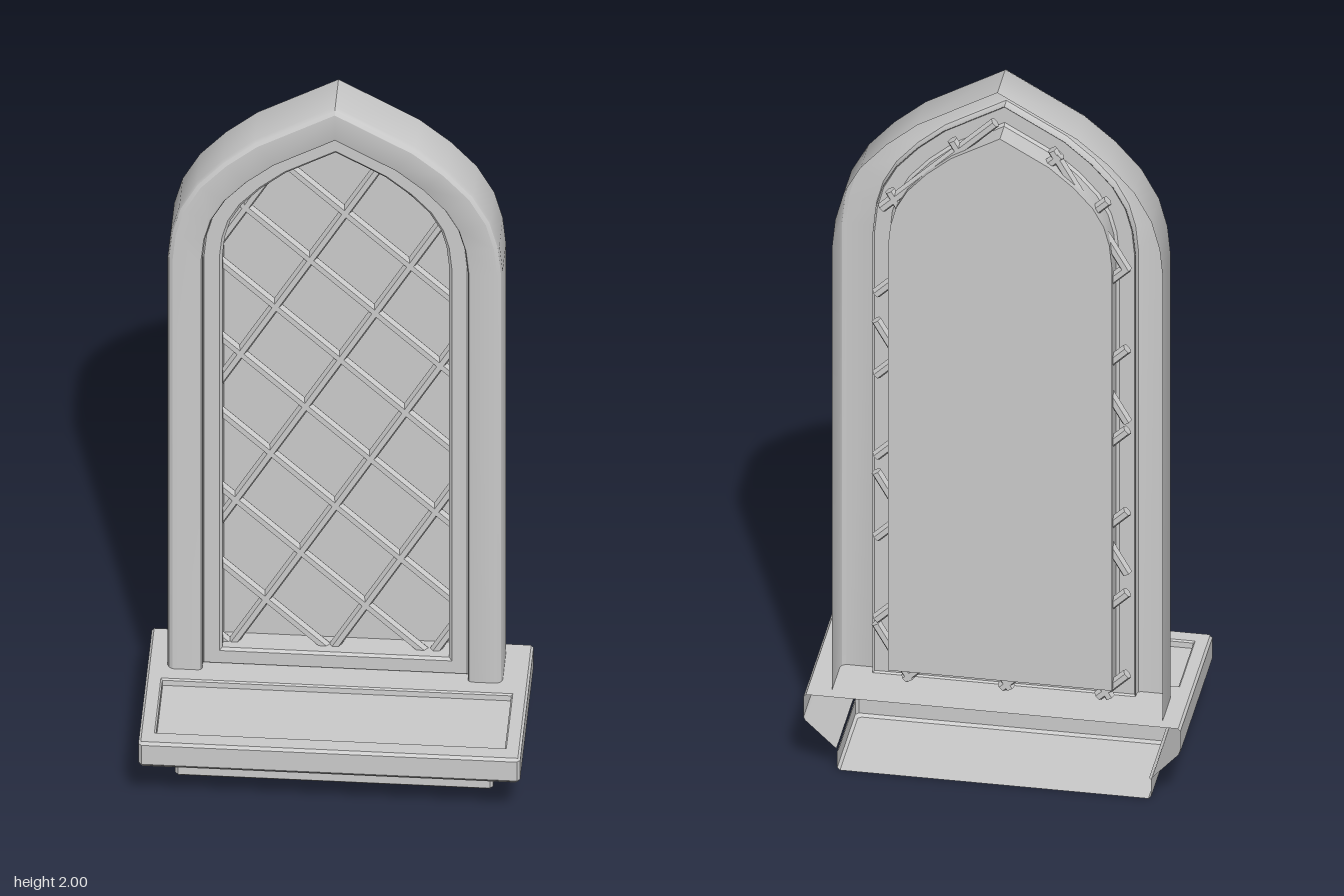
import * as THREE from 'three';
import { toCreasedNormals } from 'three/addons/utils/BufferGeometryUtils.js';

const material = new THREE.MeshStandardMaterial({ color: 0xcccccc, side: THREE.DoubleSide });
const CX = -0.008; // arch centre line
const HALF_WIDTH = 0.415;
const SILL_TOP = 0.229;
const PANE_Z = -0.165;

// Right half of the pointed arch, from the spring line up to the apex
const HALF_ARCH = [[HALF_WIDTH, 1.51], [0.407, 1.59], [0.386, 1.668], [0.343, 1.747],
  [0.278, 1.82], [0.2, 1.886]];

// Arch outline moved inwards by a distance; closed adds a mitred bottom edge
function archOutline(inset, baseY, closed) {
  const half = [[HALF_WIDTH, baseY], ...HALF_ARCH];
  const pts = [...half, [0, 2], ...half.map(([x, y]) => [-x, y]).reverse()]
    .map(([x, y]) => new THREE.Vector2(x + CX, y));
  const n = pts.length;
  const normal = (a, b) => {
    const d = b.clone().sub(a).normalize();
    return new THREE.Vector2(-d.y, d.x);
  };
  return pts.map((p, i) => {
    const hasPrev = closed || i > 0, hasNext = closed || i < n - 1;
    let n1 = hasPrev && normal(pts[(i + n - 1) % n], p);
    let n2 = hasNext && normal(p, pts[(i + 1) % n]);
    n1 = n1 || n2;
    n2 = n2 || n1;
    const miter = n1.clone().add(n2).multiplyScalar(inset / (1 + n1.dot(n2)));
    return p.clone().add(miter);
  });
}

// Skin over rows of equally many [x, y, z] points
function loft(rows, closed, crease = 0.55) {
  const n = rows[0].length, index = [];
  for (let r = 0; r < rows.length - 1; r++) {
    for (let c = 0; c < (closed ? n : n - 1); c++) {
      const a = r * n + c, b = r * n + (c + 1) % n;
      index.push(a, b, b + n, a, b + n, a + n);
    }
  }
  const g = new THREE.BufferGeometry();
  g.setAttribute('position', new THREE.Float32BufferAttribute(rows.flat(2), 3));
  g.setIndex(index);
  return toCreasedNormals(g, crease);
}

// Moulding with an [inset, z] profile running around the arch
const moulding = (profile, baseY, closed) => loft(profile.map(([inset, z]) =>
  archOutline(inset, baseY, closed).map((p) => [p.x, p.y, z])), closed);

function add(parent, name, geometry) {
  const mesh = new THREE.Mesh(geometry, material);
  mesh.name = name;
  parent.add(mesh);
  return mesh;
}

// Flat horizontal plate from x/z limits, with an optional rectangular hole
function plate(w, z0, z1, y, hole) {
  const rect = (s, hw, a, b) => s.moveTo(-hw, -b).lineTo(hw, -b).lineTo(hw, -a).lineTo(-hw, -a).closePath();
  const shape = rect(new THREE.Shape(), w, z0, z1);
  if (hole) shape.holes.push(rect(new THREE.Path(), ...hole));
  return new THREE.ShapeGeometry(shape).rotateX(-Math.PI / 2).translate(0, y, 0);
}

function buildWindow() {
  const group = new THREE.Group();
  group.name = 'window';
  // Hollow outer frame, open at the back
  add(group, 'archFrame', moulding([[0, -0.2], [0, -0.088], [0.004, -0.079], [0.013, -0.073],
    [0.077, -0.073], [0.083, -0.076], [0.086, -0.082], [0.086, -0.103]], SILL_TOP, false));
  // Inner frame with a deep reveal back to the glass
  const baseY = 0.146;
  add(group, 'innerFrame', moulding([[0.085, -0.103], [0.089, -0.098],
    [0.127, -0.098], [0.134, -0.104], [0.134, PANE_Z]], baseY, true));
  add(group, 'pane', new THREE.ShapeGeometry(new THREE.Shape(archOutline(0.134, baseY, true)))
    .translate(0, 0, PANE_Z));

  // Diagonal bars, each running through the reveal into the hollow frame
  const lattice = new THREE.Group();
  lattice.name = 'lattice';
  group.add(lattice);
  const edge = archOutline(0.1, baseY, true);
  const bar = (x0, y0, slope) => {
    const f = (p) => p.y - y0 - slope * (p.x - x0);
    const hits = [];
    edge.forEach((p, i) => {
      const q = edge[(i + 1) % edge.length], a = f(p), b = f(q);
      if (a * b < 0) hits.push(p.clone().lerp(q, a / (a - b)));
    });
    if (hits.length < 2) return;
    const d = hits[1].clone().sub(hits[0]), length = d.length();
    if (length < 0.06) return;
    const geometry = new THREE.CylinderGeometry(0.0135, 0.0135, length, 6)
      .rotateY(Math.PI / 6).toNonIndexed();
    geometry.computeVertexNormals();
    const mesh = add(lattice, 'latticeBar', geometry);
    mesh.position.set((hits[0].x + hits[1].x) / 2, (hits[0].y + hits[1].y) / 2, -0.138);
    mesh.rotation.z = Math.atan2(d.y, d.x) - Math.PI / 2;
  };
  for (let k = -1; k < 9; k++) bar(-0.29, 0.52 + 0.235 * k, -0.97);
  for (let k = -4; k < 3; k++) bar(-0.255 + 0.25 * k, 0.29, 1.75);
  return group;
}

function buildSill() {
  const group = new THREE.Group();
  group.name = 'sill';
  // Three-sided row with clipped front corners, open at the back
  const row = ([y, w, front, back]) => {
    const r = 0.008;
    return [[-w, back], [-w, front - r], [-w + r, front], [w - r, front], [w, front - r], [w, back]]
      .map(([x, z]) => [x, y, z]);
  };
  add(group, 'sillBase', loft([[0, 0.387, 0.058, -0.2], [0.007, 0.394, 0.065, -0.2],
    [0.054, 0.394, 0.065, -0.2], [0.061, 0.389, 0.06, -0.2]].map(row), false));
  add(group, 'sillTaper', loft([[0.061, 0.396, 0.066, -0.2], [0.156, 0.47, 0.228, -0.232]].map(row), false));
  add(group, 'sillEdge', loft([[0.156, 0.468, 0.226, -0.232], [0.163, 0.473, 0.231, -0.232],
    [SILL_TOP - 0.007, 0.473, 0.231, -0.232], [SILL_TOP, 0.466, 0.224, -0.232]].map(row), false));
  add(group, 'sillUnderside', plate(0.387, -0.2, 0.058, 0).scale(1, -1, 1));

  // Top with a shallow sunken panel
  add(group, 'sillTop', plate(0.467, -0.232, 0.224, SILL_TOP, [0.436, -0.034, 0.187]));
  const ring = ([drop, s]) => [[-1, -0.034 + s], [-1, 0.187 - s], [1, 0.187 - s], [1, -0.034 + s]]
    .map(([side, z]) => [side * (0.436 - s), SILL_TOP - drop, z]);
  add(group, 'recessWall', loft([[0, 0], [0.004, 0.004], [0.019, 0.005]].map(ring), true));
  add(group, 'recessFloor', plate(0.431, -0.029, 0.182, SILL_TOP - 0.019));
  return group;
}

export function createModel() {
  const model = new THREE.Group();
  model.name = 'archedWindow';
  model.add(buildWindow(), buildSill());
  return model;
}
